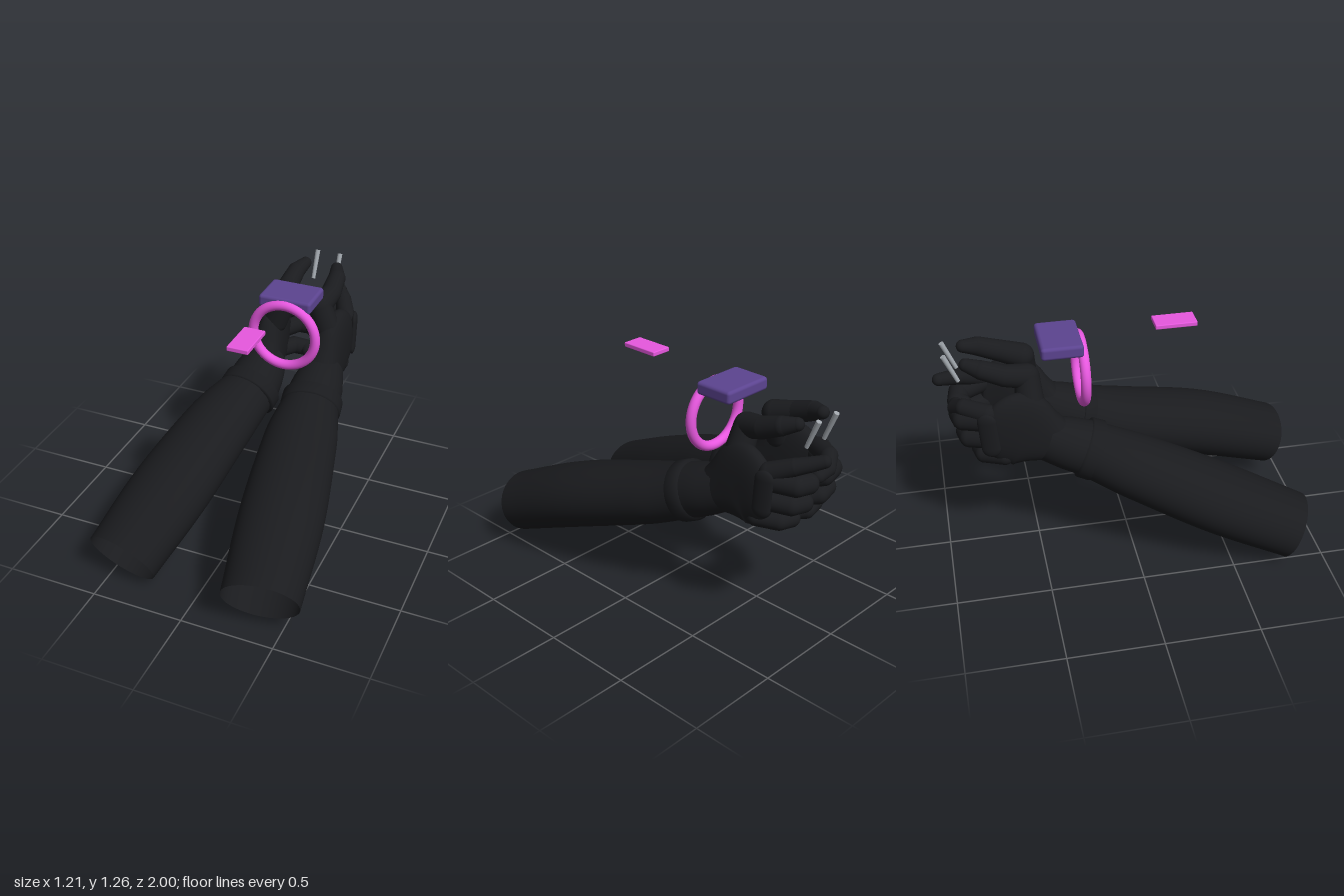
import * as THREE from 'three';
import { RoundedBoxGeometry } from 'three/addons/geometries/RoundedBoxGeometry.js';

const black = new THREE.MeshStandardMaterial({ color: 0x1a1b1e, side: THREE.DoubleSide });
const pink = new THREE.MeshStandardMaterial({ color: 0xe858e0 });
const purple = new THREE.MeshStandardMaterial({ color: 0x5c4490 });
const steel = new THREE.MeshStandardMaterial({ color: 0xa0a6ac });
const MID = 0.04; // the hands mirror about this x

function add(parent, name, geometry, material, x = 0, y = 0, z = 0) {
  const mesh = new THREE.Mesh(geometry, material);
  mesh.name = name;
  mesh.position.set(x, y, z);
  parent.add(mesh);
  return mesh;
}

// Skin of oval rings; each row is [x, y, z, half width, half height]
function loft(rows, n = 32, square = 1) {
  const centres = rows.map((r) => new THREE.Vector3(r[0], r[1], r[2]));
  const positions = [], index = [];
  rows.forEach((r, i) => {
    const a = centres[Math.max(0, i - 1)], b = centres[Math.min(rows.length - 1, i + 1)];
    const along = b.clone().sub(a).normalize();
    const side = along.clone().cross(new THREE.Vector3(0, 1, 0)).normalize();
    const up = side.clone().cross(along);
    for (let j = 0; j < n; j++) {
      const t = (j / n) * Math.PI * 2, c = Math.cos(t), s = Math.sin(t);
      const p = centres[i].clone()
        .addScaledVector(side, Math.sign(c) * Math.abs(c) ** square * r[3])
        .addScaledVector(up, Math.sign(s) * Math.abs(s) ** square * r[4]);
      positions.push(p.x, p.y, p.z);
      if (i === rows.length - 1) continue;
      const k = i * n + j, l = i * n + ((j + 1) % n);
      index.push(k, k + n, l, l, k + n, l + n);
    }
  });
  const g = new THREE.BufferGeometry();
  g.setAttribute('position', new THREE.Float32BufferAttribute(positions, 3));
  g.setIndex(index);
  g.computeVertexNormals();
  return g;
}

// Smooth extra rows between the given ones
function refine(rows, count) {
  const path = new THREE.CatmullRomCurve3(rows.map((r) => new THREE.Vector3(r[0], r[1], r[2])));
  const size = new THREE.CatmullRomCurve3(rows.map((r) => new THREE.Vector3(r[3], r[4], 0)));
  return Array.from({ length: count + 1 }, (_, i) => {
    const p = path.getPoint(i / count), q = size.getPoint(i / count);
    return [p.x, p.y, p.z, q.x, q.y];
  });
}

// Finger of tapered segments with round joints; each row is [x, y, z, radius]
function finger(parent, name, rows) {
  const group = new THREE.Group();
  group.name = name;
  parent.add(group);
  rows.forEach((r, i) => {
    add(group, 'joint', new THREE.SphereGeometry(r[3], 20, 14), black, r[0], r[1], r[2]);
    if (!i) return;
    const q = rows[i - 1];
    const a = new THREE.Vector3(q[0], q[1], q[2]), b = new THREE.Vector3(r[0], r[1], r[2]);
    const d = b.clone().sub(a);
    const seg = add(group, 'segment', new THREE.CylinderGeometry(r[3], q[3], d.length(), 20, 1, true), black);
    seg.position.copy(a).add(b).multiplyScalar(0.5);
    seg.quaternion.setFromUnitVectors(new THREE.Vector3(0, 1, 0), d.normalize());
  });
}

// s is +1 for the left hand, -1 for the right; first coordinate is distance from MID
function buildHand(s) {
  const hand = new THREE.Group();
  hand.name = s > 0 ? 'leftHand' : 'rightHand';
  const place = (rows) => rows.map(([u, ...rest]) => [MID + s * u, ...rest]);

  // Raised band over the sleeve end, then the glove cuff
  add(hand, 'wristBand', loft(place([
    [0.19, 0.615, -0.18, 0.15, 0.135], [0.189, 0.618, -0.188, 0.168, 0.163],
    [0.18, 0.643, -0.25, 0.168, 0.16], [0.178, 0.646, -0.258, 0.145, 0.13],
  ])), black);
  add(hand, 'gloveCuff', loft(refine(place([
    [0.182, 0.635, -0.23, 0.155, 0.148], [0.176, 0.68, -0.34, 0.142, 0.138], [0.17, 0.725, -0.45, 0.112, 0.122],
  ]), 6)), black);
  add(hand, 'palm', loft(refine(place([
    [0.168, 0.7, -0.38, 0.1, 0.11], [0.175, 0.745, -0.46, 0.088, 0.15],
    [0.183, 0.805, -0.58, 0.075, 0.215], [0.192, 0.815, -0.68, 0.06, 0.185],
    [0.192, 0.82, -0.74, 0.045, 0.13], [0.192, 0.822, -0.75, 0.001, 0.001],
  ]), 18), 32, 0.85), black);

  // Slim rounded guard over the knuckles
  const guard = add(hand, 'knuckleGuard', new THREE.CapsuleGeometry(0.05, 0.16, 8, 20), black,
    MID + s * 0.237, 0.82, -0.745);
  guard.scale.x = 0.4;
  guard.rotation.set(-0.08, s * 0.25, 0);

  finger(hand, 'thumb', place([
    [0.16, 0.93, -0.52, 0.075], [0.105, 1.07, -0.525, 0.066], [0.128, 1.1, -0.64, 0.057],
    [0.122, 1.142, -0.75, 0.05], [0.095, 1.165, -0.825, 0.034],
  ]));
  // The left index finger points ahead, the right one folds across
  finger(hand, 'indexFinger', place(s > 0
    ? [[0.19, 0.92, -0.74, 0.052], [0.135, 0.965, -0.85, 0.045], [0.095, 0.985, -0.91, 0.039], [0.055, 1.005, -0.965, 0.033]]
    : [[0.19, 0.92, -0.74, 0.052], [0.125, 0.935, -0.855, 0.046], [0.065, 0.9, -0.895, 0.042], [0, 0.882, -0.89, 0.036]]));
  // Three curled fingers, lower ones further back: [name, height, knuckle z, bend z]
  const curled = [['middleFinger', 0.87, -0.745, -0.865], ['ringFinger', 0.757, -0.72, -0.84], ['littleFinger', 0.645, -0.67, -0.77]];
  curled.forEach(([name, y, knuckle, bend], i) => {
    const r = 0.056 - i * 0.003;
    finger(hand, name, place([
      [0.19, y + 0.01, knuckle, r], [0.135, y, bend, r],
      [0.06, y - 0.01, bend - 0.015, r * 0.95], [0.035, y - 0.015, bend + 0.01, r * 0.88],
    ]));
  });
  return hand;
}

export function createModel() {
  const model = new THREE.Group();

  // Sleeves, open at the elbow
  add(model, 'leftSleeve', loft(refine([
    [0.403, 0.21, 0.932, 0.202, 0.168], [0.338, 0.385, 0.5, 0.222, 0.178],
    [0.25, 0.547, 0, 0.198, 0.163], [0.225, 0.622, -0.2, 0.158, 0.148],
  ], 20), 40), black);
  add(model, 'rightSleeve', loft(refine([
    [-0.408, 0.152, 0.85, 0.202, 0.17], [-0.325, 0.335, 0.45, 0.222, 0.178],
    [-0.215, 0.542, 0, 0.195, 0.163], [-0.15, 0.622, -0.2, 0.158, 0.148],
  ], 20), 40), black);

  model.add(buildHand(1), buildHand(-1));

  // Floating ring, block and plate
  add(model, 'ring', new THREE.TorusGeometry(0.178, 0.027, 20, 64), pink, 0.052, 1.015, -0.23);
  add(model, 'block', new RoundedBoxGeometry(0.295, 0.07, 0.22, 2, 0.018), purple, 0.048, 1.195, -0.34);
  add(model, 'plate', new RoundedBoxGeometry(0.115, 0.025, 0.222, 2, 0.005), pink, 0.048, 1.24, 0.267);

  // Two slim pins above the index fingers
  for (const x of [-0.02, 0.115]) {
    const pin = add(model, 'pin', new THREE.CylinderGeometry(0.014, 0.011, 0.165, 16), steel, x, 1.13, -0.9);
    pin.rotation.x = -0.4;
  }
  return model;
}
